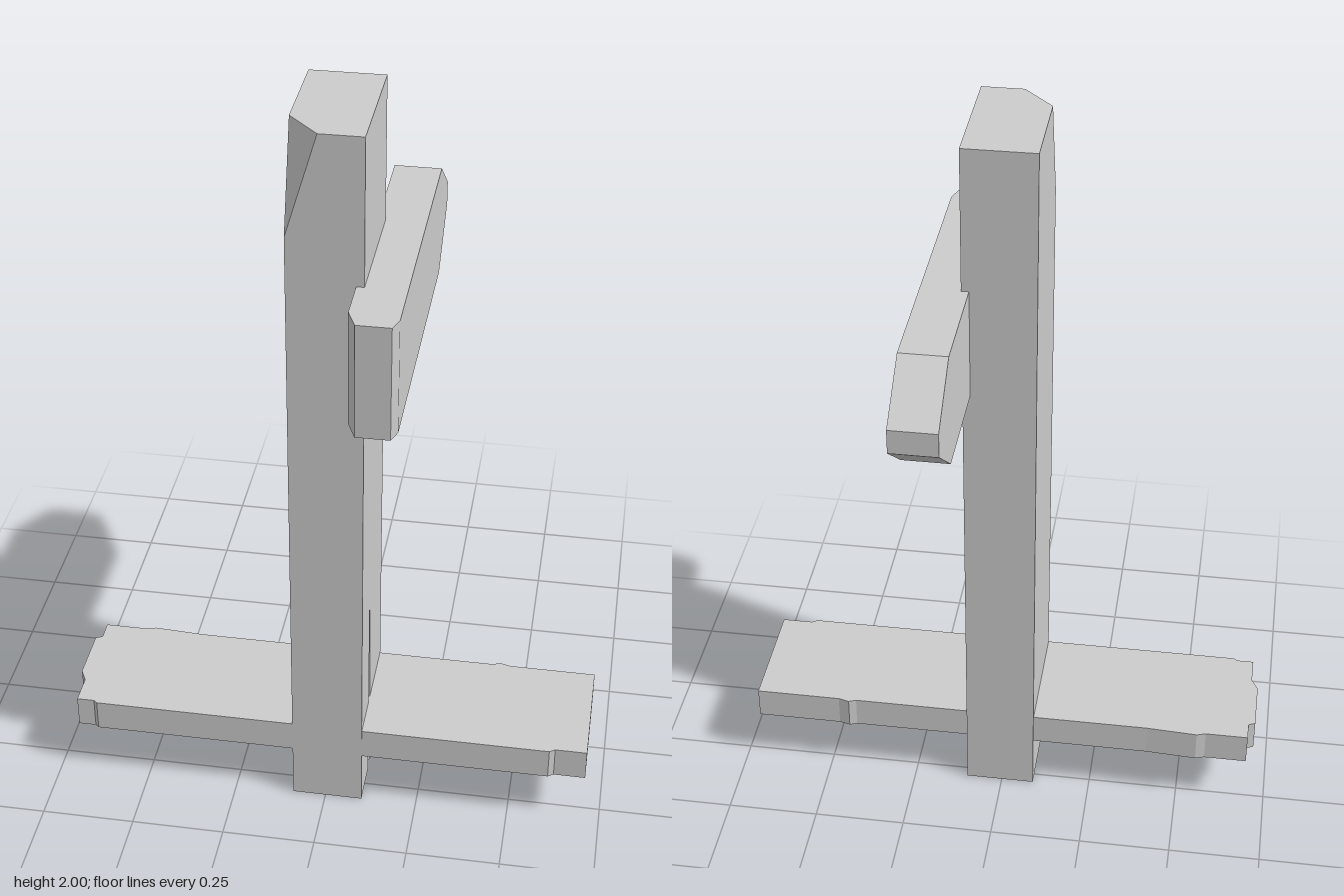
import * as THREE from 'three';

// Faceted solid through cross-sections { h, pts: [[u, v], ...] } stacked along +z,
// each listed counter-clockwise as seen from +z.
function loft(rings) {
  const pos = [];
  const tri = (a, b, c) => {
    const n = b.clone().sub(a).cross(c.clone().sub(a));
    if (n.lengthSq() < 1e-14) return;
    for (const p of [a, b, c]) pos.push(p.x, p.y, p.z);
  };
  const sec = rings.map(r => r.pts.map(([u, v]) => new THREE.Vector3(u, v, r.h)));
  const n = sec[0].length;
  for (let i = 0; i + 1 < sec.length; i++) {
    for (let j = 0; j < n; j++) {
      const k = (j + 1) % n;
      tri(sec[i][j], sec[i][k], sec[i + 1][k]);
      tri(sec[i][j], sec[i + 1][k], sec[i + 1][j]);
    }
  }
  const cap = (s, up) => {
    const flat = s.map(p => new THREE.Vector2(p.x, p.y));
    for (const [a, b, c] of THREE.ShapeUtils.triangulateShape(flat, [])) {
      const ccw = THREE.ShapeUtils.area([s[a], s[b], s[c]]) > 0;
      if (ccw === up) tri(s[a], s[b], s[c]);
      else tri(s[a], s[c], s[b]);
    }
  };
  cap(sec[0], false);
  cap(sec[sec.length - 1], true);
  const g = new THREE.BufferGeometry();
  g.setAttribute('position', new THREE.Float32BufferAttribute(pos, 3));
  g.computeVertexNormals();
  return g;
}

// Vertical loft: points are [x, z] and h is the height.
function loftUp(rings) {
  return loft(rings.map(r => ({ h: r.h, pts: r.pts.map(([x, z]) => [x, -z]) }))).rotateX(-Math.PI / 2);
}

export function createModel() {
  const group = new THREE.Group();
  const material = new THREE.MeshStandardMaterial({ color: 0xcccccc, flatShading: true });
  const add = (name, geometry) => {
    const mesh = new THREE.Mesh(geometry, material);
    mesh.name = name;
    group.add(mesh);
  };

  // Post: a split narrows upward on the left side, and one top corner is cut off
  const L = -0.09, R = 0.1, F = 0.312, B = -0.033;
  const postRing = (h, split, cutX = L, cutZ = F) => ({
    h,
    pts: [[L, cutZ], [cutX, F], [R, F], [R, 0.18 + 0.01 * split], [R - 0.04 * split, 0.18 - 0.008 * split],
      [R, 0.18 - 0.03 * split], [R, B], [L, B]],
  });
  add('post', loftUp([postRing(0, 1), postRing(0.64, 0), postRing(1.73, 0), postRing(2, 0, -0.01, 0.225)]));

  // Arrow board: chamfered front end, blunt point at the back
  const boardRing = (h, x0, x1, y0, y1) => ({ h, pts: [[x0, y0], [x1, y0], [x1, y1], [x0, y1]] });
  add('arrowBoard', loft([
    boardRing(-0.49, 0.08, 0.203, 1.435, 1.5),
    boardRing(-0.335, 0.08, 0.203, 1.31, 1.615),
    boardRing(0.43, 0.08, 0.203, 1.31, 1.615),
    boardRing(0.45, 0.088, 0.203, 1.31, 1.615),
    boardRing(0.487, 0.104, 0.19, 1.31, 1.615),
  ]));

  // Cross plank with worn ends and edges
  const plank = [
    [-0.645, 0.302], [-0.635, 0.31], [0.605, 0.31], [0.62, 0.3], [0.705, 0.3], [0.705, -0.027],
    [0.47, -0.027], [0.44, -0.035], [0.42, -0.027], [-0.41, -0.027], [-0.55, -0.035], [-0.575, -0.027],
    [-0.692, -0.027], [-0.692, 0.028], [-0.71, 0.036], [-0.71, 0.185], [-0.692, 0.22], [-0.692, 0.302],
  ];
  add('crossPlank', loftUp([{ h: 0.155, pts: plank }, { h: 0.243, pts: plank }]));

  return group;
}
